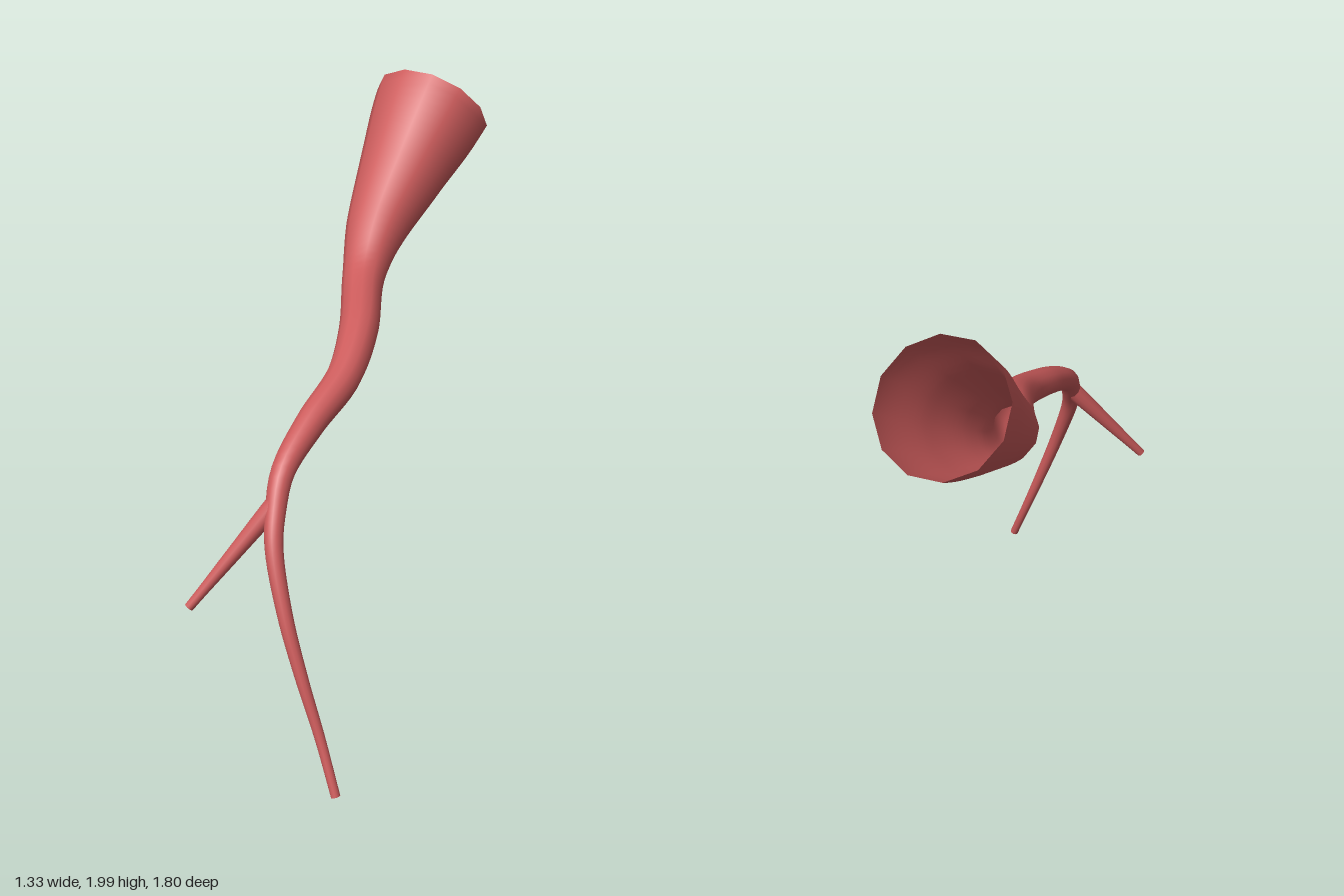
import * as THREE from 'three';
import { mergeVertices } from 'three/addons/utils/BufferGeometryUtils.js';

// Hollow tube through rows of [x, y, z, radius], with smooth normals
function taperedTube(rows, segments, sides) {
  const path = new THREE.CatmullRomCurve3(rows.map(([x, y, z]) => new THREE.Vector3(x, y, z)));
  const radii = new THREE.SplineCurve(rows.map((row, i) => new THREE.Vector2(i, row[3])));
  const tube = new THREE.TubeGeometry(path, segments, 1, sides, false);
  const pos = tube.attributes.position;
  const v = new THREE.Vector3();
  for (let i = 0; i <= segments; i++) {
    const centre = path.getPointAt(i / segments);
    const r = radii.getPoint(path.getUtoTmapping(i / segments)).y;
    for (let j = 0; j <= sides; j++) {
      const k = i * (sides + 1) + j;
      v.fromBufferAttribute(pos, k).sub(centre).multiplyScalar(r).add(centre);
      pos.setXYZ(k, v.x, v.y, v.z);
    }
  }
  tube.deleteAttribute('normal');
  tube.deleteAttribute('uv');
  const geometry = mergeVertices(tube, 1e-5);
  geometry.computeVertexNormals();
  return { geometry, path };
}

export function createModel() {
  const group = new THREE.Group();
  const red = new THREE.MeshStandardMaterial({ color: 0xcd5c5c, side: THREE.DoubleSide });
  red.name = 'coral red';

  // A tube with a flat cap on its thin end
  function addVessel(name, rows, segments, sides) {
    const { geometry, path } = taperedTube(rows, segments, sides);
    const part = new THREE.Group();
    part.name = name;
    const wall = new THREE.Mesh(geometry, red);
    wall.name = name + 'Wall';
    const tip = new THREE.Mesh(new THREE.CircleGeometry(rows[rows.length - 1][3], sides), red);
    tip.name = name + 'Tip';
    const end = path.getPointAt(1);
    tip.position.copy(end);
    tip.lookAt(end.clone().add(path.getTangentAt(1)));
    part.add(wall, tip);
    group.add(part);
  }

  // Flared open mouth, narrowing into the winding trunk and its tail
  addVessel('trunk', [
    [-0.455, 1.825, -0.755, 0.219],
    [-0.385, 1.64, -0.54, 0.165],
    [-0.3, 1.475, -0.33, 0.111],
    [-0.205, 1.36, -0.185, 0.076],
    [0, 1.268, 0.025, 0.068],
    [0.12, 1.185, 0.2, 0.06],
    [0.19, 1.1, 0.41, 0.051],
    [0.247, 1.0, 0.575, 0.041],
    [0.29, 0.9, 0.643, 0.035],
    [0.335, 0.8, 0.69, 0.031],
    [0.42, 0.6, 0.72, 0.026],
    [0.495, 0.4, 0.718, 0.022],
    [0.568, 0.2, 0.705, 0.018],
    [0.647, 0.008, 0.706, 0.016],
  ], 80, 12);

  // Short straight side branch
  addVessel('sideBranch', [
    [0.283, 0.925, 0.63, 0.034],
    [0.207, 0.745, 0.76, 0.025],
    [0.132, 0.568, 0.888, 0.016],
  ], 12, 12);

  return group;
}
